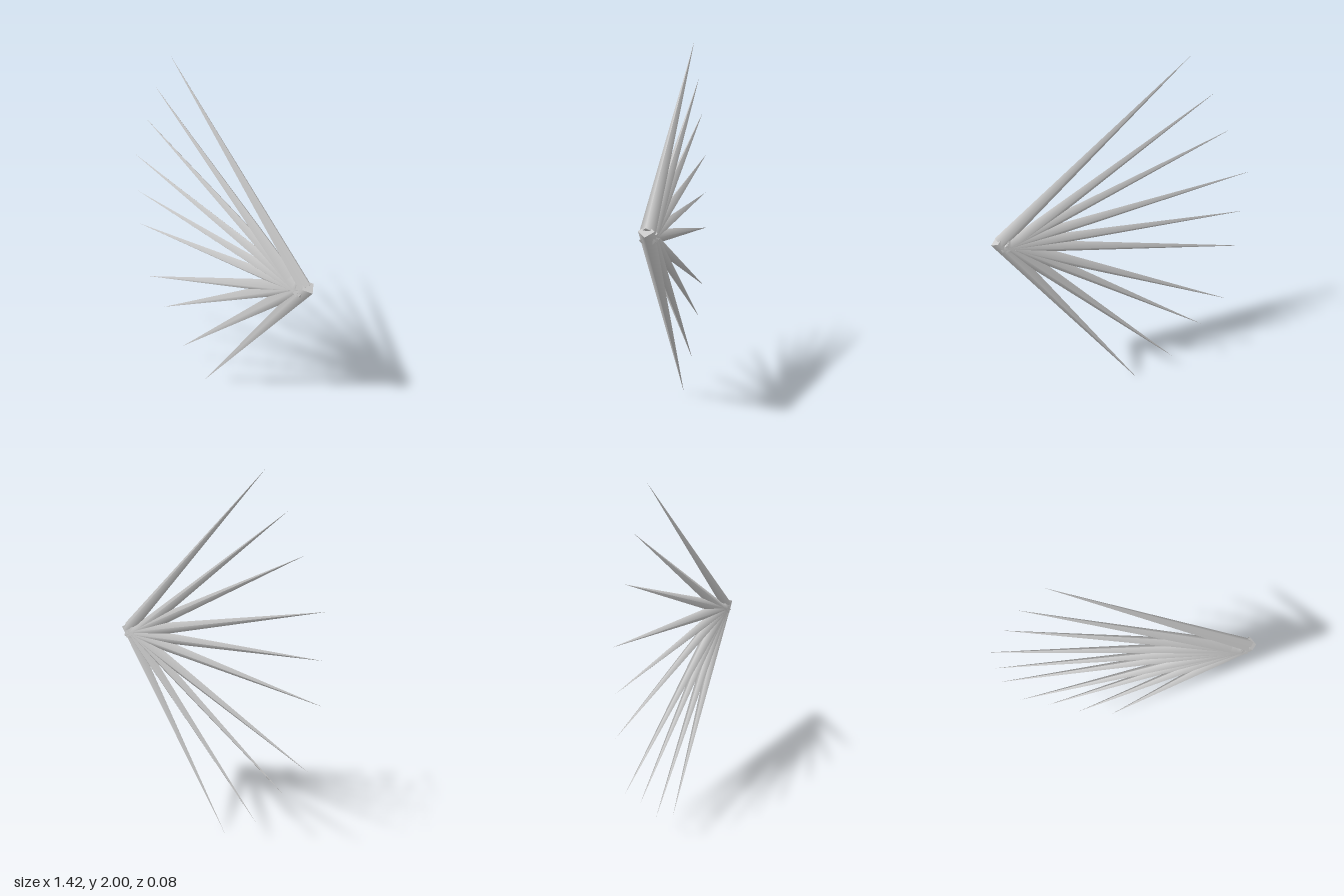
import * as THREE from 'three';

// tip x, tip y, base x, base y of each spike, from top to bottom
const SPIKES = [
  [-0.33, 2.0, 0.68, 1.09],
  [-0.47, 1.8, 0.65, 1.05],
  [-0.57, 1.59, 0.67, 1.06],
  [-0.7, 1.33, 0.63, 1.08],
  [-0.69, 1.09, 0.65, 1.07],
  [-0.7, 0.86, 0.63, 1.07],
  [-0.63, 0.5, 0.6, 1.06],
  [-0.48, 0.34, 0.64, 1.09],
  [-0.3, 0.13, 0.65, 1.09],
  [-0.08, 0.0, 0.69, 1.11],
];
const LENGTH = 1.35;
const RADIUS = 0.04;

export function createModel() {
  const group = new THREE.Group();
  group.name = 'spikeFan';
  const material = new THREE.MeshStandardMaterial({ color: 0xcccccc });

  // Four-sided spike with its tip at the origin, running down -y
  const geometry = new THREE.ConeGeometry(RADIUS, LENGTH, 4);
  geometry.translate(0, -LENGTH / 2, 0);

  // Fan of spikes: each is turned in the xy plane so it points at its tip
  SPIKES.forEach(([tx, ty, bx, by], i) => {
    const spike = new THREE.Mesh(geometry, material);
    spike.name = `spike${i + 1}`;
    spike.position.set(tx, ty, 0);
    spike.rotation.z = Math.atan2(ty - by, tx - bx) - Math.PI / 2;
    group.add(spike);
  });

  return group;
}
